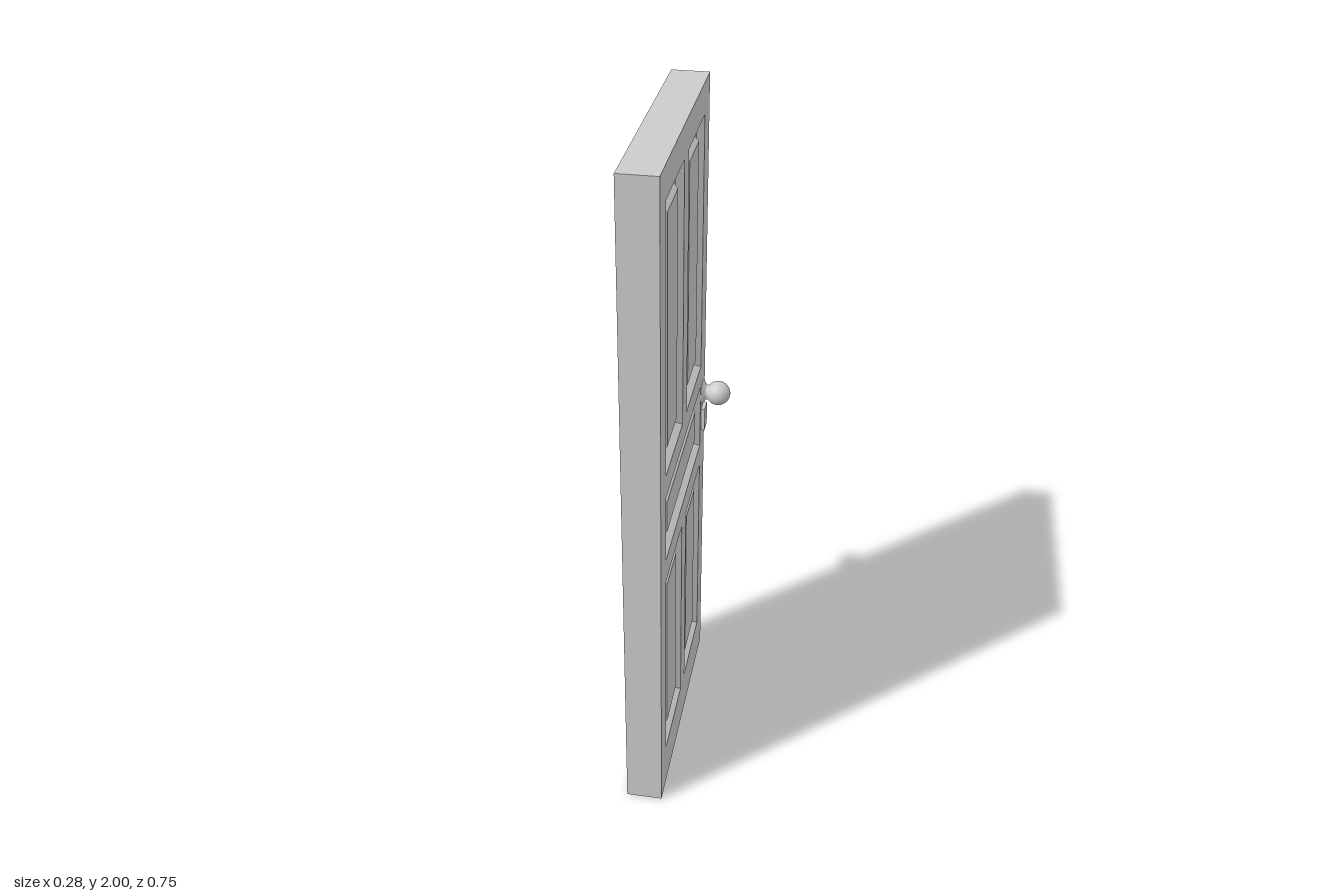
import * as THREE from 'three';

const W = 0.75, H = 2, T = 0.053; // door width, height, half thickness
const mat = new THREE.MeshStandardMaterial({ color: 0xcccccc });

function add(parent, name, geometry) {
  const mesh = new THREE.Mesh(geometry, mat);
  mesh.name = name;
  parent.add(mesh);
  return mesh;
}

// Counter-clockwise corners of a rectangle [u0, v0, u1, v1], shrunk by inset, at height w
const corners = ([u0, v0, u1, v1], inset, w) => [
  [u0 + inset, v0 + inset, w], [u1 - inset, v0 + inset, w],
  [u1 - inset, v1 - inset, w], [u0 + inset, v1 - inset, w],
];

// Flat-shaded skin over nested rectangles; profile is a list of [inset, height]
function steppedRect(rect, profile, capped) {
  const loops = profile.map(([inset, w]) => corners(rect, inset, w));
  const pos = [];
  const quad = (a, b, c, d) => pos.push(...a, ...b, ...c, ...a, ...c, ...d);
  for (let i = 0; i < loops.length - 1; i++) {
    for (let k = 0; k < 4; k++) {
      const n = (k + 1) % 4;
      quad(loops[i][k], loops[i][n], loops[i + 1][n], loops[i + 1][k]);
    }
  }
  if (capped) quad(...loops[loops.length - 1]);
  const g = new THREE.BufferGeometry();
  g.setAttribute('position', new THREE.Float32BufferAttribute(pos, 3));
  g.computeVertexNormals();
  return g;
}

const doorRect = [-W / 2, 0, W / 2, H];
const panels = {
  upperPanelA: [-0.294, 1.133, -0.035, 1.91],
  upperPanelB: [0.035, 1.133, 0.294, 1.91],
  middlePanel: [-0.294, 0.853, 0.294, 1.063],
  lowerPanelA: [-0.294, 0.14, -0.035, 0.778],
  lowerPanelB: [0.035, 0.14, 0.294, 0.778],
};
// Sloped moulding down to a groove, then up to a raised field
const panelProfile = [[0, 0], [0.014, -0.02], [0.044, -0.02], [0.055, -0.007]];

// One panelled face, facing local +z
function doorFace() {
  const face = new THREE.Group();
  const toPoints = (r) => corners(r, 0, 0).map(([u, v]) => new THREE.Vector2(u, v));
  const frame = new THREE.Shape(toPoints(doorRect));
  for (const r of Object.values(panels)) frame.holes.push(new THREE.Path(toPoints(r).reverse()));
  add(face, 'faceFrame', new THREE.ShapeGeometry(frame));
  for (const [name, r] of Object.entries(panels)) add(face, name, steppedRect(r, panelProfile, true));
  return face;
}

// Flared rose, neck and ball in one turned profile, axis along +y
function knobGeometry() {
  const R = 0.037, centre = 0.048;
  const pts = [[0.039, 0], [0.038, 0.002], [0.029, 0.007], [0.023, 0.012], [0.0222, 0.015], [0.0235, 0.019]]
    .map(([r, y]) => new THREE.Vector2(r, y));
  for (let i = 0; i <= 16; i++) {
    const a = -0.75 + (Math.PI / 2 + 0.75) * (i / 16);
    pts.push(new THREE.Vector2(Math.max(0, R * Math.cos(a)), centre + R * Math.sin(a)));
  }
  return new THREE.LatheGeometry(pts, 32);
}

export function createModel() {
  const model = new THREE.Group();
  model.name = 'panelDoor';

  // Edges of the slab
  const edges = add(model, 'doorEdges', steppedRect(doorRect, [[0, -T], [0, T]], false));
  edges.rotation.y = Math.PI / 2;

  for (const s of [1, -1]) {
    const side = s > 0 ? 'left' : 'right';

    const face = doorFace();
    face.name = side + 'Face';
    face.rotation.y = s * Math.PI / 2;
    face.position.x = s * T;
    model.add(face);

    const knob = add(model, side + 'Knob', knobGeometry());
    knob.rotation.z = -s * Math.PI / 2;
    knob.position.set(s * T, 1.022, -0.336);

    const plate = add(model, side + 'LockPlate', new THREE.BoxGeometry(0.014, 0.075, 0.046));
    plate.position.set(s * (T + 0.004), 0.935, -0.336);
  }
  return model;
}
